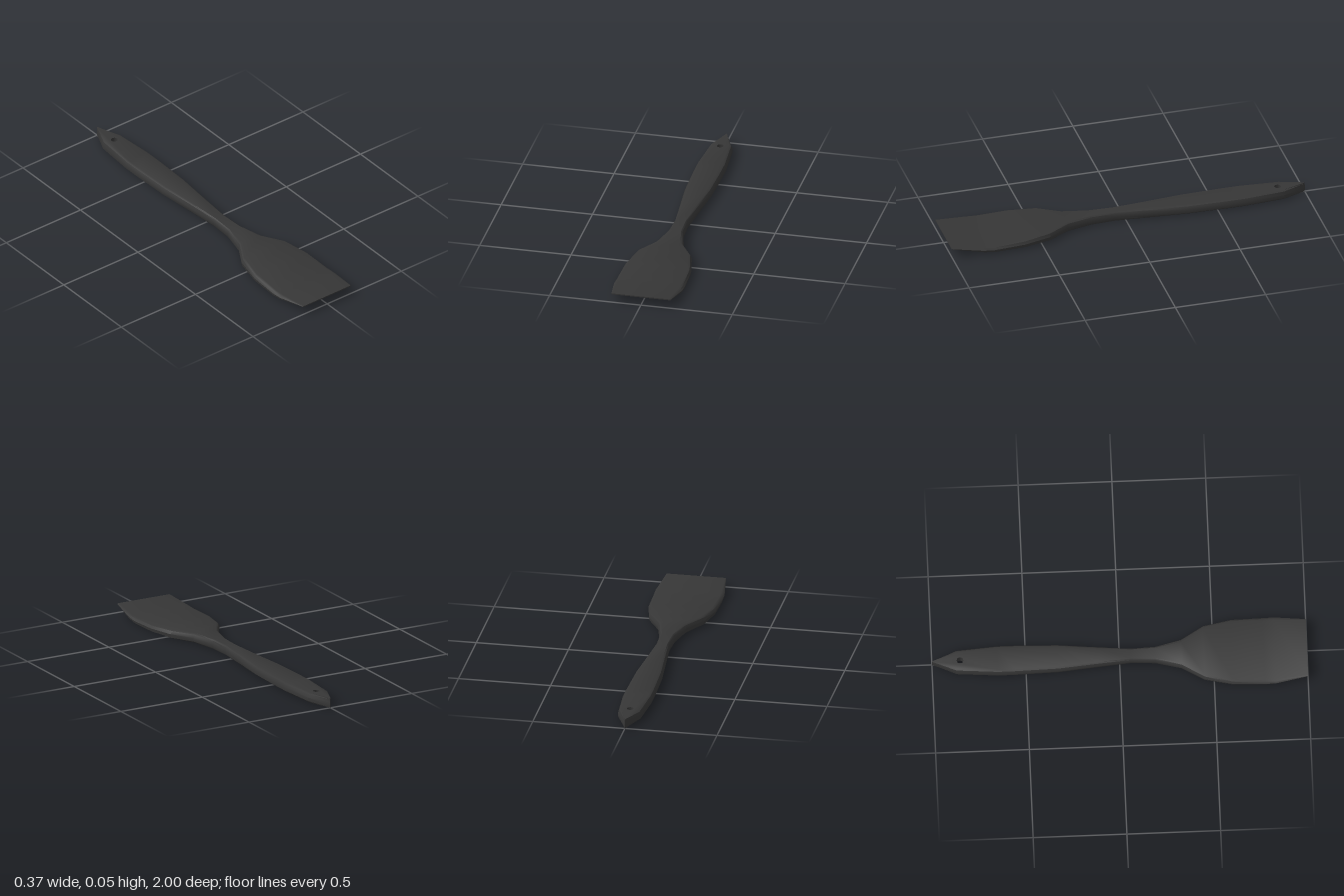
import * as THREE from 'three';
import { mergeGeometries, toCreasedNormals } from 'three/addons/utils/BufferGeometryUtils.js';

// Stations along the spatula: [z, half width, bottom y, top y]
const STATIONS = [
  [-1, 0.002, 0, 0.053], [-0.87, 0.063, 0, 0.053], [-0.65, 0.08, 0, 0.053],
  [-0.56, 0.08, 0, 0.053], [-0.33, 0.074, 0, 0.053], [-0.1, 0.052, 0, 0.053],
  [0.06, 0.037, 0, 0.053], [0.19, 0.043, 0, 0.053], [0.33, 0.078, 0, 0.053],
  [0.45, 0.15, 0, 0.052], [0.6, 0.182, 0, 0.043], [0.77, 0.187, 0, 0.035],
  [0.83, 0.187, 0.011, 0.037], [1, 0.162, 0.046, 0.052],
];
const TAIL = 2; // stations up to this one carry the hanging hole
const HOLE = { z: -0.85, r: 0.018, sides: 16 };

// Cross-section with a chamfered top edge and a rounder lower edge
function ring([z, w, lo, hi]) {
  const t = hi - lo;
  const a = Math.min(0.02, 0.3 * w, t);
  const b = Math.min(0.06, 0.4 * w, t * 2);
  const side = [
    [w - a, hi], [w - a * 0.45, hi - t * 0.1], [w, hi - t * 0.42],
    [w - b * 0.05, lo + t * 0.2], [w - b * 0.3, lo + t * 0.07], [w - b, lo],
  ];
  const mirrored = side.map(([x, y]) => [-x, y]).reverse();
  return [...side, ...mirrored].map(([x, y]) => new THREE.Vector3(x, y, z));
}

function buildShell(rings) {
  const pts = [];
  const n = rings[0].length;
  for (let j = 0; j < rings.length - 1; j++) {
    for (let k = 0; k < n; k++) {
      const flat = k === n / 2 - 1 || k === n - 1;
      if (flat && j < TAIL) continue; // pierced plates close the tail
      const m = (k + 1) % n;
      const a = rings[j][k], b = rings[j][m], c = rings[j + 1][k], d = rings[j + 1][m];
      pts.push(a, c, b, b, c, d);
    }
  }
  // End caps
  const first = rings[0], last = rings[rings.length - 1];
  for (let k = 1; k < n - 1; k++) {
    pts.push(first[0], first[k], first[k + 1], last[0], last[k + 1], last[k]);
  }
  return new THREE.BufferGeometry().setFromPoints(pts);
}

// Flat tail face with the hanging hole, following one edge of the rings
function tailFace(rings, index, up) {
  const edge = rings.slice(0, TAIL + 1).map((r) => r[index]);
  const outline = [
    ...edge.map((p) => new THREE.Vector2(p.x, p.z)),
    ...edge.map((p) => new THREE.Vector2(-p.x, p.z)).reverse(),
  ];
  const shape = new THREE.Shape(outline);
  const circle = [];
  for (let i = 0; i < HOLE.sides; i++) {
    const t = (i / HOLE.sides) * Math.PI * 2;
    circle.push(new THREE.Vector2(Math.sin(t) * HOLE.r, HOLE.z + Math.cos(t) * HOLE.r));
  }
  shape.holes.push(new THREE.Path(circle));
  const g = new THREE.ShapeGeometry(shape).rotateX(Math.PI / 2);
  if (up) g.index.array.reverse();
  return g.translate(0, edge[0].y, 0);
}

export function createModel() {
  const group = new THREE.Group();
  group.name = 'spatula';
  const black = new THREE.MeshStandardMaterial({ color: 0x363636 });
  black.name = 'matte black';

  const rings = STATIONS.map(ring);
  // Inward-facing wall of the hole
  const wall = new THREE.CylinderGeometry(HOLE.r, HOLE.r, 0.053, HOLE.sides, 1, true)
    .scale(-1, 1, 1).translate(0, 0.0265, HOLE.z);
  wall.index.array.reverse();
  wall.index.array.reverse();

  const parts = [buildShell(rings), tailFace(rings, 0, true), tailFace(rings, 5, false), wall]
    .map((g) => {
      const plain = g.index ? g.toNonIndexed() : g;
      plain.deleteAttribute('normal');
      plain.deleteAttribute('uv');
      return plain;
    });
  const merged = mergeGeometries(parts);
  merged.computeVertexNormals();
  const body = new THREE.Mesh(toCreasedNormals(merged, 0.6), black);
  body.name = 'bladeAndHandle';
  group.add(body);
  return group;
}
